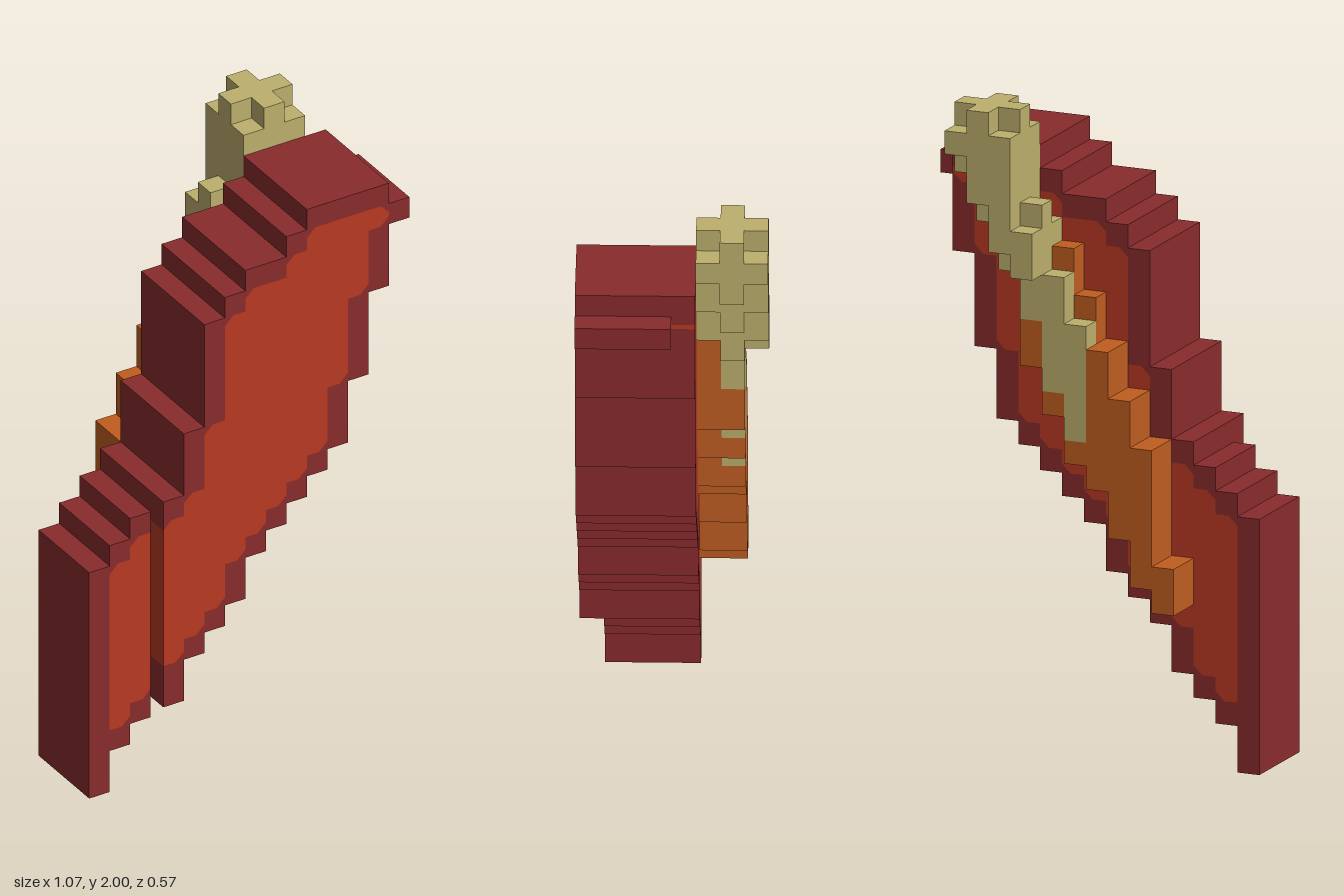
import * as THREE from 'three';
import { mergeGeometries } from 'three/addons/utils/BufferGeometryUtils.js';

const U = 2 / 28; // one block of the stepped grid
const CUT = 0.4;  // clipped corners where the membrane meets an inner corner of the edge

const mat = (name, color) => {
  const m = new THREE.MeshStandardMaterial({ color });
  m.name = name;
  return m;
};

// Bottom and top of the wing, in blocks, column by column from -x to +x
const WING = [
  [0, 11], [2, 12], [3, 13], [4, 14], [6, 17], [7, 22], [8, 23], [10, 24],
  [11, 24], [12, 25], [13, 26], [14, 26], [17, 26], [21, 26], [24, 25],
];

// Bone and muscle blocks behind the wing: [column, bottom, top] for each depth layer
const BONE = {
  '-4': [[9, 21, 23], [10, 22, 27], [11, 24, 28], [12, 26, 27]],
  '-3': [[7, 14, 19], [8, 16, 21], [9, 19, 24], [10, 21, 28], [11, 23, 28], [12, 25, 28]],
  '-2': [[9, 22, 23], [10, 22, 27], [11, 24, 28], [12, 26, 27]],
};
const MUSCLE = {
  '-3': [[3, 7, 9], [4, 8, 14], [5, 10, 16], [6, 12, 18], [7, 13, 14], [8, 15, 16], [9, 17, 19]],
  '-2': [[3, 7, 9], [4, 8, 14], [5, 10, 16], [6, 12, 18], [7, 13, 20], [8, 15, 22], [9, 17, 22]],
};

// Extrude a polygon given in blocks between two depths
function slab(points, z0, z1) {
  const shape = new THREE.Shape(points.map(([x, y]) => new THREE.Vector2((x - 7.5) * U, y * U)));
  const g = new THREE.ExtrudeGeometry(shape, { depth: (z1 - z0) * U, bevelEnabled: false });
  return g.translate(0, 0, z0 * U);
}

function blocks(layers) {
  const parts = [];
  for (const [z, list] of Object.entries(layers)) {
    for (const [c, lo, hi] of list) {
      const g = new THREE.BoxGeometry(U, (hi - lo) * U, U);
      parts.push(g.translate((c - 7) * U, ((lo + hi) / 2) * U, (Number(z) + 0.5) * U));
    }
  }
  return mergeGeometries(parts);
}

// Split each wing column into edge, membrane, edge
function wingGeometries() {
  const edge = [], membrane = [];
  const corners = new Set();
  WING.forEach(([lo, hi], c) => {
    for (const x of [c, c + 1]) for (const y of [lo, hi]) corners.add(x + ',' + y);
  });
  // line across a column, clipped at corners that touch the outline; dir points into the membrane
  const line = (c, y, dir) => {
    const left = corners.has(c + ',' + y)
      ? [[c, y + dir * CUT], [c + CUT, y]] : [[c, y]];
    const right = corners.has((c + 1) + ',' + y)
      ? [[c + 1 - CUT, y], [c + 1, y + dir * CUT]] : [[c + 1, y]];
    return [...left, ...right];
  };
  WING.forEach(([lo, hi], c) => {
    const z0 = c === 14 ? 0 : -1;
    const z1 = c < 3 ? 3 : 4;
    const a = WING[c - 1], b = WING[c + 1];
    if (!a || !b) {
      edge.push(slab([[c, lo], [c + 1, lo], [c + 1, hi], [c, hi]], z0, z1));
      return;
    }
    const bottom = line(c, Math.max(lo + 1, a[0], b[0]), 1);
    const top = line(c, Math.min(hi - 1, a[1], b[1]), -1);
    edge.push(slab([[c, lo], [c + 1, lo], ...[...bottom].reverse()], z0, z1));
    edge.push(slab([...top, [c + 1, hi], [c, hi]], z0, z1));
    membrane.push(slab([...bottom, ...[...top].reverse()], z0, z1));
  });
  return { edge: mergeGeometries(edge), membrane: mergeGeometries(membrane) };
}

export function createModel() {
  const model = new THREE.Group();
  model.name = 'wing';
  const add = (name, geometry, material) => {
    const mesh = new THREE.Mesh(geometry, material);
    mesh.name = name;
    model.add(mesh);
  };
  const { edge, membrane } = wingGeometries();
  add('wingEdge', edge, mat('dark red', 0x8a2b2d));
  add('wingMembrane', membrane, mat('orange red', 0xba3a23));
  add('wingMuscle', blocks(MUSCLE), mat('orange', 0xc05e21));
  add('wingBone', blocks(BONE), mat('bone', 0xbeb06e));
  return model;
}
